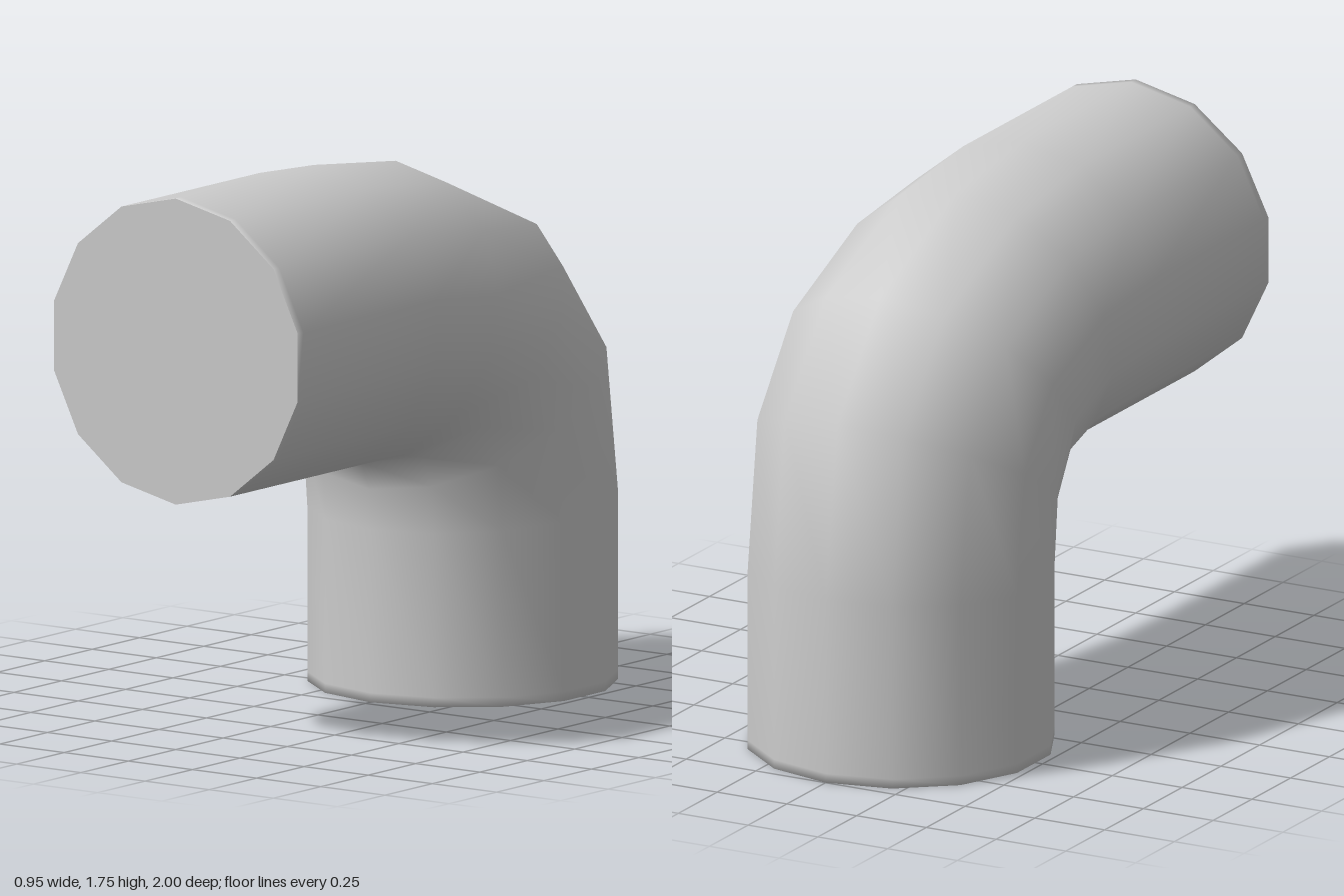
import * as THREE from 'three';

const SIDES = 14, R = 0.4875, TOP_Y = 1.2675, LEG_Z = -0.5125;

// Rings along the bend: [outer z, outer y, inner z, inner y]
const hi = TOP_Y + R, lo = TOP_Y - R, back = LEG_Z - R, front = LEG_Z + R;
const rings = [
  [1, hi, 1, lo],
  [0.97, hi, 0.97, lo],
  [0.27, hi, 0.27, lo],
  [-0.16, 1.705, 0.1, lo],
  [-0.65, 1.495, 0.02, 0.77],
  [-0.925, 1.155, -0.018, 0.68],
  [back, 0.6, front, 0.55],
  [back, 0.03, front, 0.03],
  [back, 0, front, 0],
];

function pipeGeometry() {
  const pos = [], index = [];
  rings.forEach(([oz, oy, iz, iy], i) => {
    for (let k = 0; k < SIDES; k++) {
      const a = (k / SIDES) * Math.PI * 2, t = (1 + Math.cos(a)) / 2;
      pos.push(R * Math.sin(a), iy + (oy - iy) * t, iz + (oz - iz) * t);
      if (i === rings.length - 1) continue;
      const p = i * SIDES + k, q = i * SIDES + (k + 1) % SIDES;
      index.push(p, q, p + SIDES, q, q + SIDES, p + SIDES);
    }
  });
  const geo = new THREE.BufferGeometry();
  geo.setAttribute('position', new THREE.Float32BufferAttribute(pos, 3));
  geo.setIndex(index);
  geo.computeVertexNormals();

  // Soften the shading at both rims by leaning the end normals outward
  const n = geo.attributes.normal, v = new THREE.Vector3();
  const last = (rings.length - 1) * SIDES;
  for (let k = 0; k < SIDES; k++) {
    for (const [j, axis] of [[k, [0, 0, 0.7]], [last + k, [0, -0.7, 0]]]) {
      v.fromBufferAttribute(n, j).add(new THREE.Vector3(...axis)).normalize();
      n.setXYZ(j, v.x, v.y, v.z);
    }
  }
  return geo;
}

export function createModel() {
  const group = new THREE.Group();
  group.name = 'pipeElbow';
  const material = new THREE.MeshStandardMaterial({ color: 0xcccccc });
  const add = (name, geo) => {
    const mesh = new THREE.Mesh(geo, material);
    mesh.name = name;
    group.add(mesh);
    return mesh;
  };

  // Bent pipe wall
  add('pipeWall', pipeGeometry());

  // Flat end caps
  const cap = new THREE.CircleGeometry(R, SIDES, Math.PI / 2);
  add('frontCap', cap).position.set(0, TOP_Y, 1);
  const bottom = add('bottomCap', cap);
  bottom.position.set(0, 0, LEG_Z);
  bottom.rotation.x = Math.PI / 2;

  return group;
}
